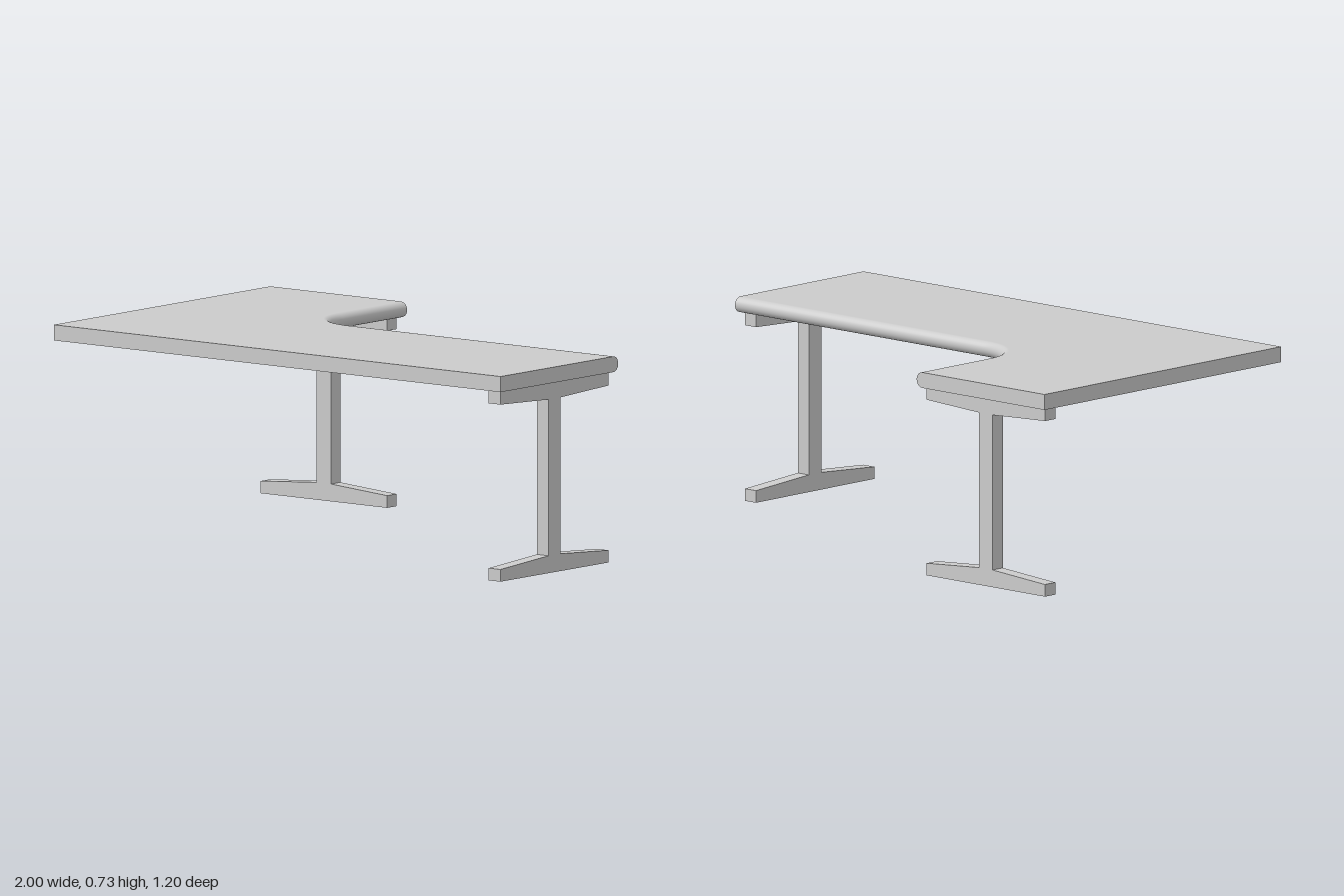
import * as THREE from 'three';

const TOP = 0.725, BOTTOM = 0.67;
const R = (TOP - BOTTOM) / 2, MID = (TOP + BOTTOM) / 2;

export function createModel() {
  const group = new THREE.Group();
  const material = new THREE.MeshStandardMaterial({ color: 0xcccccc });
  const add = (name, geometry) => {
    const mesh = new THREE.Mesh(geometry, material);
    mesh.name = name;
    group.add(mesh);
    return mesh;
  };

  // Inner edge of the L: x, z and the outward direction at each point
  const edge = [[-0.415, -0.6, 1, 0]];
  const arcSteps = 20;
  for (let i = 0; i <= arcSteps; i++) {
    const t = Math.PI - (i / arcSteps) * Math.PI / 2;
    const c = Math.cos(t), s = Math.sin(t);
    edge.push([-0.19 + 0.225 * c, -0.25 + 0.225 * s, -c, -s]);
  }
  edge.push([1, -0.025, 0, -1]);

  // L-shaped worktop slab
  const outline = [...edge.map(([x, z]) => new THREE.Vector2(x, z)),
    new THREE.Vector2(1, 0.6), new THREE.Vector2(-1, 0.6), new THREE.Vector2(-1, -0.6)];
  const slab = new THREE.ExtrudeGeometry(new THREE.Shape(outline), { depth: TOP - BOTTOM, bevelEnabled: false });
  add('worktop', slab.rotateX(Math.PI / 2).translate(0, TOP, 0));

  // Half-round nosing swept along the inner edge
  const positions = [], normals = [], index = [], sides = 12;
  edge.forEach(([x, z, nx, nz], i) => {
    for (let j = 0; j <= sides; j++) {
      const a = (j / sides - 0.5) * Math.PI, c = Math.cos(a), s = Math.sin(a);
      positions.push(x + nx * R * c, MID + R * s, z + nz * R * c);
      normals.push(nx * c, s, nz * c);
      if (i < edge.length - 1 && j < sides) {
        const p = i * (sides + 1) + j, q = p + sides + 1;
        index.push(p, p + 1, q, p + 1, q + 1, q);
      }
    }
  });
  const nosing = new THREE.BufferGeometry();
  nosing.setAttribute('position', new THREE.Float32BufferAttribute(positions, 3));
  nosing.setAttribute('normal', new THREE.Float32BufferAttribute(normals, 3));
  nosing.setIndex(index);
  add('roundedEdge', nosing);

  // Flat ends of the nosing
  add('edgeEndRear', new THREE.CircleGeometry(R, sides, Math.PI / 2, Math.PI)
    .rotateY(Math.PI).translate(-0.415, MID, -0.6));
  add('edgeEndSide', new THREE.CircleGeometry(R, sides, -Math.PI / 2, Math.PI)
    .rotateY(Math.PI / 2).translate(1, MID, -0.025));

  // I-shaped leg: tapered foot, post and tapered top bracket
  const legGeometry = (half, base) => {
    const post = 0.032, depth = 0.053;
    const side = [[half, base], [half, base + 0.043], [post, base + 0.061],
      [post, base + 0.611], [half, base + 0.623], [half, BOTTOM]];
    const points = [...side, ...side.map(([x, y]) => [-x, y]).reverse()];
    const shape = new THREE.Shape(points.map(([x, y]) => new THREE.Vector2(x, y)));
    return new THREE.ExtrudeGeometry(shape, { depth, bevelEnabled: false }).translate(0, 0, -depth / 2);
  };
  const sideLeg = add('sideLeg', legGeometry(0.3, 0));
  sideLeg.rotation.y = Math.PI / 2;
  sideLeg.position.set(0.96, 0, 0.284);
  add('rearLeg', legGeometry(0.283, 0.005)).position.set(-0.708, 0, -0.562);

  return group;
}
